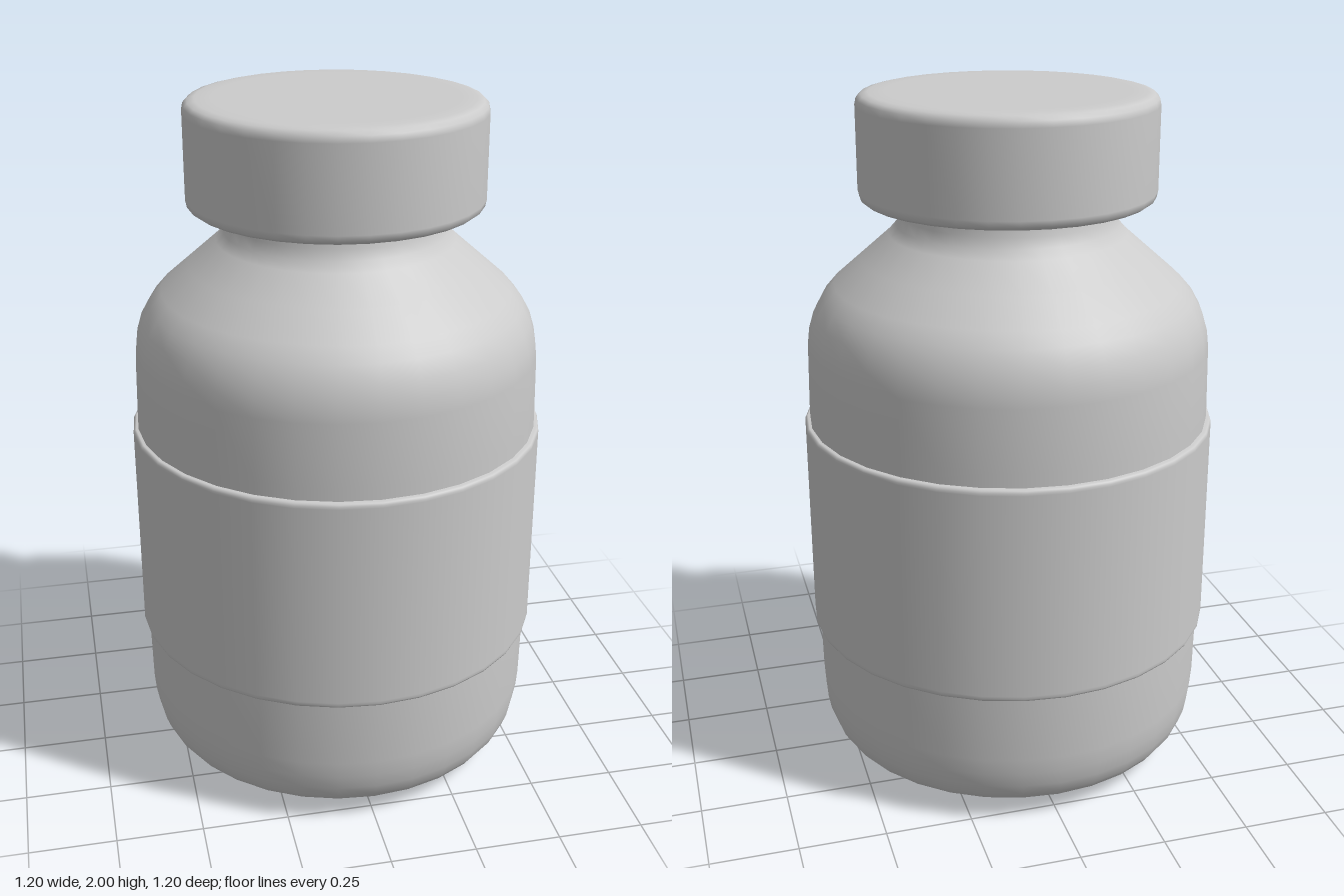
import * as THREE from 'three';

const SIDES = 32;

// Revolves a profile of [radius, height] points, listed from bottom to top.
function turned(name, profile, material) {
  const points = profile.map(([r, y]) => new THREE.Vector2(r, y));
  const mesh = new THREE.Mesh(new THREE.LatheGeometry(points, SIDES), material);
  mesh.name = name;
  return mesh;
}

export function createModel() {
  const group = new THREE.Group();
  group.name = 'bottle';
  const grey = new THREE.MeshStandardMaterial({ color: 0xcccccc });

  // Body: shallow domed base, straight wall, sloping shoulder and neck
  group.add(turned('body', [
    [0, 0], [0.12, 0.004], [0.25, 0.013], [0.38, 0.03], [0.48, 0.049], [0.53, 0.061],
    [0.54, 0.066], [0.557, 0.09], [0.57, 0.125], [0.578, 0.17], [0.582, 0.22],
    [0.585, 0.4], [0.585, 1.1], [0.581, 1.28], [0.575, 1.33], [0.56, 1.38],
    [0.535, 1.425], [0.5, 1.465], [0.42, 1.535], [0.34, 1.605], [0.318, 1.63],
    [0.308, 1.66], [0.3, 1.7], [0.3, 1.74],
  ], grey));

  // Raised label band around the wall
  group.add(turned('labelBand', [
    [0.57, 0.423], [0.592, 0.423], [0.597, 0.425], [0.6, 0.431], [0.6, 0.44],
    [0.6, 1.045], [0.6, 1.052], [0.597, 1.058], [0.592, 1.061], [0.57, 1.063],
  ], grey));

  // Cap: solid disc with rounded rims
  group.add(turned('cap', [
    [0, 1.7], [0.2, 1.7], [0.385, 1.7], [0.405, 1.703], [0.417, 1.712], [0.421, 1.73],
    [0.421, 1.965], [0.417, 1.983], [0.405, 1.994], [0.385, 1.999], [0.34, 2], [0, 2],
  ], grey));

  return group;
}
